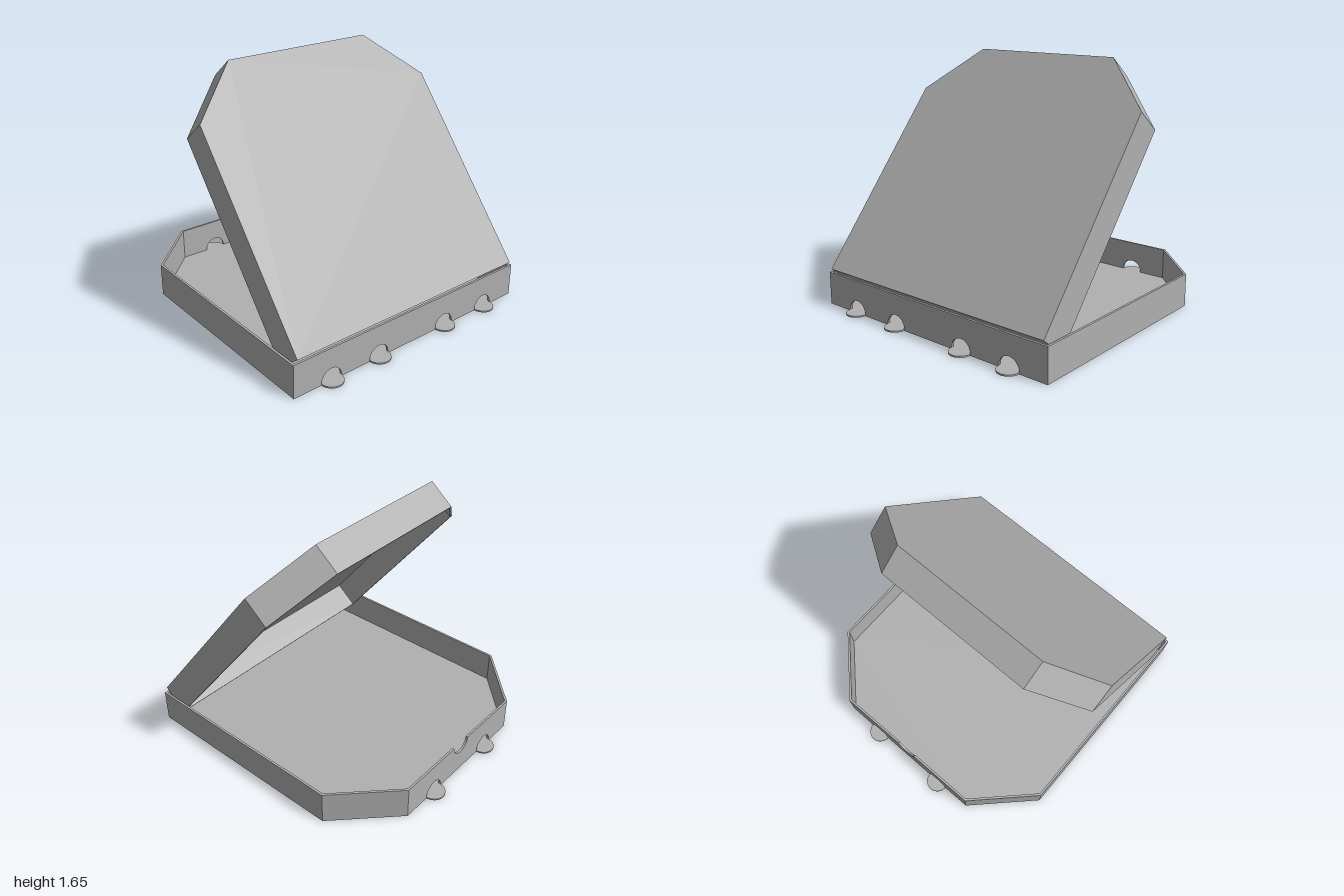
import * as THREE from 'three';

const T = 0.015; // board thickness
const R = 0.075; // radius of vents, tabs and thumb notch

// Outline with two cut corners at the far (v = top) end
function outline(w, tipW, bottom, shoulder, top, Path = THREE.Shape) {
  const s = new Path();
  s.moveTo(-w, bottom);
  s.lineTo(w, bottom);
  s.lineTo(w, shoulder);
  s.lineTo(tipW, top);
  s.lineTo(-tipW, top);
  s.lineTo(-w, shoulder);
  s.closePath();
  return s;
}

const extrude = (shape, depth) =>
  new THREE.ExtrudeGeometry(shape, { depth, bevelEnabled: false, curveSegments: 16 });

export function createModel() {
  const model = new THREE.Group();
  model.name = 'openBox';
  const card = new THREE.MeshStandardMaterial({ color: 0xb0b0b0 });
  card.name = 'grey card';

  const add = (parent, name, geometry) => {
    const mesh = new THREE.Mesh(geometry, card);
    mesh.name = name;
    parent.add(mesh);
    return mesh;
  };

  // Tray: floor, folded-out tabs and upright walls
  const tray = new THREE.Group();
  tray.name = 'tray';
  model.add(tray);

  const floorT = 0.01, wallTop = 0.222, half = 0.925;
  const floor = extrude(outline(half, 0.55, -half, 0.555, half), floorT);
  add(tray, 'trayFloor', floor.rotateX(-Math.PI / 2));

  // Wall between two plan points; vents are cut at its foot, a notch at its rim
  function wall(name, [ax, az], [bx, bz], vents = [], notch = false) {
    const len = Math.hypot(bx - ax, bz - az);
    const s = new THREE.Shape();
    s.moveTo(-len / 2, floorT);
    for (const x of vents) {
      s.lineTo(x - R, floorT);
      s.absarc(x, floorT, R, Math.PI, 0, true);
    }
    s.lineTo(len / 2, floorT);
    s.lineTo(len / 2, wallTop);
    if (notch) {
      s.lineTo(R, wallTop);
      s.absarc(0, wallTop, R, 0, -Math.PI, true);
    }
    s.lineTo(-len / 2, wallTop);
    s.closePath();
    const mesh = add(tray, name, extrude(s, T).translate(0, 0, -T));
    mesh.position.set((ax + bx) / 2, 0, (az + bz) / 2);
    mesh.rotation.y = Math.atan2(az - bz, bx - ax);
  }

  const frontVents = [-0.65, -0.28, 0.28, 0.65];
  const backVents = [-0.28, 0.28];
  wall('trayFrontWall', [-half, half], [half, half], frontVents);
  wall('trayLeftWall', [half, half], [half, -0.555]);
  wall('trayLeftCornerWall', [half, -0.555], [0.55, -half]);
  wall('trayBackWall', [0.55, -half], [-0.55, -half], backVents, true);
  wall('trayRightCornerWall', [-0.55, -half], [-half, -0.555]);
  wall('trayRightWall', [-half, -0.555], [-half, half]);

  // Half-round tabs lying flat outside the vents
  function tab(x, side) {
    const s = new THREE.Shape();
    s.absarc(0, 0, R, Math.PI, 2 * Math.PI, false);
    s.closePath();
    const mesh = add(tray, 'ventTab', extrude(s, floorT).rotateX(-Math.PI / 2));
    mesh.position.set(x, 0, side * half);
    mesh.rotation.y = side > 0 ? 0 : Math.PI;
  }
  frontVents.forEach((x) => tab(x, 1));
  backVents.forEach((x) => tab(x, -1));

  // Lid: panel and surrounding rim, tilted open about the front edge
  const lid = new THREE.Group();
  lid.name = 'lid';
  lid.position.set(0, 0.25, 0.93);
  lid.rotation.x = -0.679;
  model.add(lid);

  const lidDepth = 0.206;
  const lidOutline = () => outline(0.9, 0.545, 0, 1.44, 1.8);
  add(lid, 'lidPanel', extrude(lidOutline(), T).translate(0, 0, -T));
  const rim = lidOutline();
  rim.holes.push(outline(0.9 - T, 0.539, T, 1.434, 1.8 - T, THREE.Path));
  add(lid, 'lidRim', extrude(rim, lidDepth - T).translate(0, 0, -lidDepth));

  return model;
}
